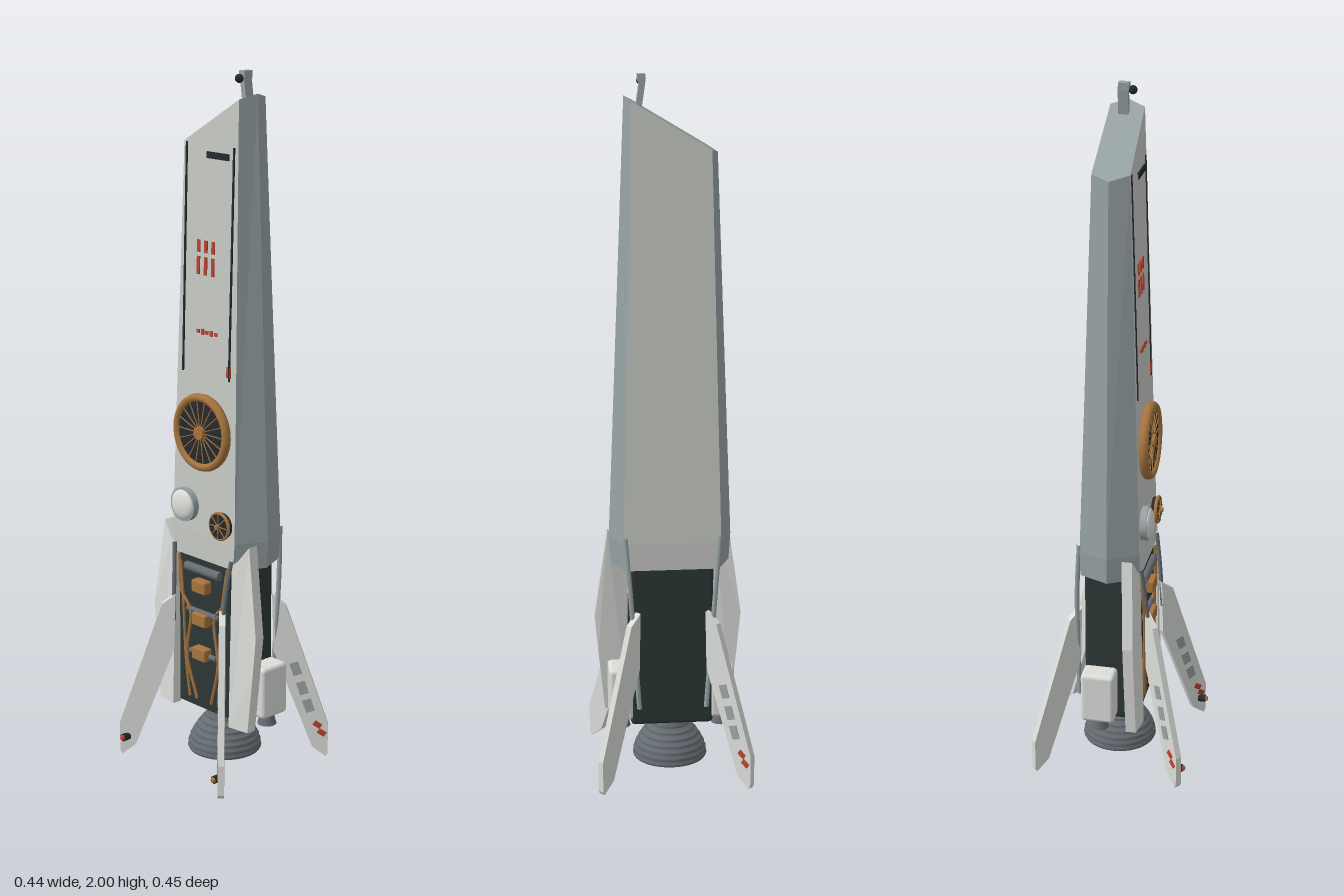
import * as THREE from 'three';
import { RoundedBoxGeometry } from 'three/addons/geometries/RoundedBoxGeometry.js';

const mat = (name, color) => Object.assign(new THREE.MeshStandardMaterial({ color }), { name });

export function createModel() {
  const model = new THREE.Group();
  model.name = 'rocket';
  const panel = mat('warm grey panel', 0xc8cac5);
  const trim = mat('blue grey side', 0x98a3a5);
  const white = mat('fin white', 0xdcdeda);
  const core = mat('dark green core', 0x2c3736);
  const steel = mat('engine steel', 0x656c72);
  const brass = mat('brass', 0xa6743e);
  const red = mat('red marking', 0xb9432f);
  const black = mat('black', 0x24292b);

  const add = (parent, name, geo, material, x = 0, y = 0, z = 0) => {
    const m = new THREE.Mesh(geo, material);
    m.name = name;
    m.position.set(x, y, z);
    parent.add(m);
    return m;
  };
  const box = (p, name, w, h, d, m, x, y, z) => add(p, name, new THREE.BoxGeometry(w, h, d), m, x, y, z);
  const rod = (p, name, pts, r, m) => add(p, name, new THREE.TubeGeometry(
    new THREE.CatmullRomCurve3(pts.map(a => new THREE.Vector3(...a))), 24, r, 8), m);
  const disc = (p, name, r, d, m, x, y, z) => {
    const c = add(p, name, new THREE.CylinderGeometry(r, r, d, 40), m, x, y, z);
    c.rotation.x = Math.PI / 2;
    return c;
  };
  const plate = (pts, depth) => new THREE.ExtrudeGeometry(
    new THREE.Shape(pts.map(([x, y]) => new THREE.Vector2(x, y))), { depth, bevelEnabled: false });

  // Tapering six-sided hull with a slanted top
  const mix = (a, b, y) => a + (b - a) * (y - 0.7) / 1.2;
  const ring = (yAt, inset = 0) => [[1, 0], [1, 1], [1, 2], [-1, 2], [-1, 1], [-1, 0]].map(([s, k]) => {
    const width = y => [mix(0.128, 0.105, y), mix(0.174, 0.127, y), mix(0.138, 0.108, y)][k] - inset;
    const y = yAt(s * width(1.865));
    const z = [mix(0.075, 0.04, y) - inset / 3, -0.01, mix(-0.095, -0.057, y) + inset / 3][k];
    return [s * width(y), y, z];
  });
  const low = ring(() => 0.622, 0.008), wide = ring(() => 0.7), top = ring(x => 1.865 + 0.6 * x);
  const faces = { panel: [], trim: [] };
  const tri = (list, a, b, c) => list.push(...a, ...b, ...c);
  for (let i = 0; i < 6; i++) {
    const j = (i + 1) % 6, list = i === 2 || i === 5 ? faces.panel : faces.trim;
    for (const [a, b] of [[low, wide], [wide, top]]) {
      tri(list, a[i], a[j], b[j]);
      tri(list, a[i], b[j], b[i]);
    }
    if (i > 0 && i < 5) {
      tri(faces.trim, top[0], top[i], top[i + 1]);
      tri(faces.trim, low[0], low[i + 1], low[i]);
    }
  }
  for (const [name, material] of [['panel', panel], ['trim', trim]]) {
    const g = new THREE.BufferGeometry();
    g.setAttribute('position', new THREE.Float32BufferAttribute(faces[name], 3));
    g.computeVertexNormals();
    add(model, name === 'panel' ? 'hullPanels' : 'hullSides', g, material);
  }

  // Details lying on the sloping front face (local y = height above 0.7)
  const front = new THREE.Group();
  front.name = 'frontDetails';
  front.position.set(0, 0.7, 0.075);
  front.rotation.x = -Math.atan(0.035 / 1.2);
  model.add(front);
  for (const x of [-0.095, 0.092]) box(front, 'seam', 0.006, 0.64, 0.004, black, x, 0.78, 0.001);
  box(front, 'slot', 0.085, 0.018, 0.006, black, 0.03, 1.072, 0.001);
  for (const x of [-0.04, -0.011, 0.018]) {
    box(front, 'redMark', 0.012, 0.034, 0.004, red, x, 0.82, 0.001);
    box(front, 'redMark', 0.011, 0.05, 0.004, red, x, 0.766, 0.001);
  }
  for (let i = 0; i < 5; i++) box(front, 'redDash', 0.011, i % 2 ? 0.016 : 0.01, 0.004, red, -0.036 + i * 0.018, 0.582, 0.001);
  box(front, 'redTag', 0.016, 0.03, 0.004, red, 0.09, 0.485, 0.001);

  // Round brass-rimmed ports
  const port = (x, y, r, spokes) => {
    const g = new THREE.Group();
    g.name = 'port';
    g.position.set(x, y, 0);
    front.add(g);
    disc(g, 'portGlass', r * 0.9, 0.02, black, 0, 0, 0.009);
    const rim = add(g, 'portRim', new THREE.TorusGeometry(r * 0.9, r * 0.11, 10, 48), brass, 0, 0, 0.014);
    rim.scale.z = 1.2;
    disc(g, 'portHub', r * 0.17, 0.012, brass, 0, 0, 0.023);
    for (let i = 0; i < spokes; i++) {
      const a = i / spokes * Math.PI * 2;
      box(g, 'portSpoke', r * 0.75, 0.0022, 0.003, brass, Math.cos(a) * r * 0.5, Math.sin(a) * r * 0.5, 0.02).rotation.z = a;
    }
  };
  port(0, 0.3, 0.11, 18);
  port(0.08, 0.045, 0.041, 8);
  disc(front, 'domeBase', 0.049, 0.022, trim, -0.07, 0.075, 0.008);
  add(front, 'dome', new THREE.SphereGeometry(0.044, 28, 16), white, -0.07, 0.075, 0.017).scale.z = 0.35;

  // Lower core and the machinery on its front
  add(model, 'core', new RoundedBoxGeometry(0.236, 0.48, 0.14, 3, 0.012), core, 0, 0.39, -0.017);
  box(model, 'corePanel', 0.21, 0.46, 0.025, core, 0, 0.395, 0.058);
  const bar = (y, w, r) => { add(model, 'crossBar', new THREE.CylinderGeometry(r, r, w, 16), steel, 0, y, 0.076).rotation.z = Math.PI / 2; };
  bar(0.59, 0.14, 0.013);
  bar(0.462, 0.13, 0.008);
  bar(0.335, 0.11, 0.008);
  for (const y of [0.545, 0.445, 0.34]) add(model, 'brassUnit', new RoundedBoxGeometry(0.056, 0.038, 0.03, 2, 0.005), brass, 0, y, 0.083);

  for (const s of [-1, 1]) {
    // Pipes, struts, side plates and side tanks, mirrored
    rod(model, 'pipe', [[s * 0.1, 0.62, 0.076], [s * 0.088, 0.51, 0.08], [s * 0.05, 0.46, 0.08], [s * 0.065, 0.32, 0.08], [s * 0.03, 0.19, 0.074]], 0.0045, brass);
    rod(model, 'outerPipe', [[s * 0.095, 0.6, 0.076], [s * 0.08, 0.48, 0.08], [s * 0.072, 0.3, 0.078], [s * 0.06, 0.19, 0.074]], 0.004, brass);
    rod(model, 'frontStrut', [[s * 0.118, 0.65, 0.078], [s * 0.108, 0.55, 0.09], [s * 0.1, 0.42, 0.1]], 0.006, steel);
    rod(model, 'backStrut', [[s * 0.134, 0.72, -0.097], [s * 0.12, 0.55, -0.108], [s * 0.096, 0.21, -0.108]], 0.007, trim);
    const pts = [[0.118, 0.15], [0.185, 0.15], [0.203, 0.33], [0.213, 0.44], [0.175, 0.7], [0.14, 0.655], [0.118, 0.635]].map(([x, y]) => [s * x, y]);
    const side = plate(pts, 0.03);
    const p = side.attributes.position;
    for (let i = 0; i < p.count; i++) {
      const out = Math.abs(p.getX(i)) - 0.118;
      p.setZ(i, p.getZ(i) + 0.058 - out * 0.15 - Math.max(0, p.getY(i) - 0.44) * 0.06);
    }
    side.computeVertexNormals();
    add(model, 'sidePlate', side, white);
    add(model, 'sideTank', new RoundedBoxGeometry(0.07, 0.155, 0.098, 3, 0.012), white, s * 0.145, 0.243, -0.039);
    add(model, 'tankNozzle', new THREE.CylinderGeometry(0.018, 0.028, 0.035, 20), steel, s * 0.145, 0.152, -0.039);
    // Lamps on the front fins
    disc(model, 'lampBase', 0.011, 0.022, black, s * 0.195, 0.055, 0.208);
    add(model, 'lamp', new THREE.SphereGeometry(0.009, 14, 10), s < 0 ? red : brass, s * 0.195, 0.055, 0.218);
  }

  // Four diagonal landing fins with markings on one face
  const finGeo = plate([[0, 0.5], [0.005, 0.33], [0.12, 0.03], [0.16, 0], [0.166, 0.01], [0.166, 0.1], [0.04, 0.47]], 0.018);
  for (let i = 0; i < 4; i++) {
    const fin = new THREE.Group();
    fin.name = 'landingFin';
    fin.rotation.y = Math.PI / 4 + i * Math.PI / 2;
    fin.position.z = -0.005;
    model.add(fin);
    add(fin, 'finBlade', finGeo, white, 0.139, 0, -0.009);
    for (const [x, y] of [[0.07, 0.275], [0.09, 0.215], [0.108, 0.16]])
      box(fin, 'finMark', 0.026, 0.04, 0.003, trim, 0.139 + x, y, 0.0095).rotation.z = 0.33;
    for (const [x, y] of [[0.135, 0.1], [0.148, 0.075]])
      box(fin, 'finRedMark', 0.024, 0.016, 0.003, red, 0.139 + x, y, 0.0095).rotation.z = -0.6;
  }

  // Ribbed engine bell
  const bell = [[0.001, 0.16], [0.048, 0.16], [0.05, 0.14]];
  for (let i = 0; i < 7; i++) {
    const r = 0.055 + 0.05 * Math.sin(i / 6 * Math.PI / 2), y = 0.133 - i * 0.016;
    bell.push([r, y], [r + 0.003, y - 0.005], [r, y - 0.011]);
  }
  bell.push([0.098, 0.024], [0.05, 0.1], [0.001, 0.11]);
  const bellMesh = add(model, 'engineBell', new THREE.LatheGeometry(
    bell.map(a => new THREE.Vector2(...a)).reverse(), 40), steel, 0, 0, -0.008);
  bellMesh.geometry.computeVertexNormals();

  // Mast on the slanted top
  const mast = box(model, 'mast', 0.016, 0.09, 0.028, trim, 0.08, 1.945, -0.014);
  mast.rotation.z = 0.14;
  box(model, 'mastHead', 0.022, 0.02, 0.03, trim, 0.077, 1.99, -0.012);
  add(model, 'mastSensor', new THREE.SphereGeometry(0.012, 16, 12), black, 0.077, 1.98, 0.012);
  return model;
}
